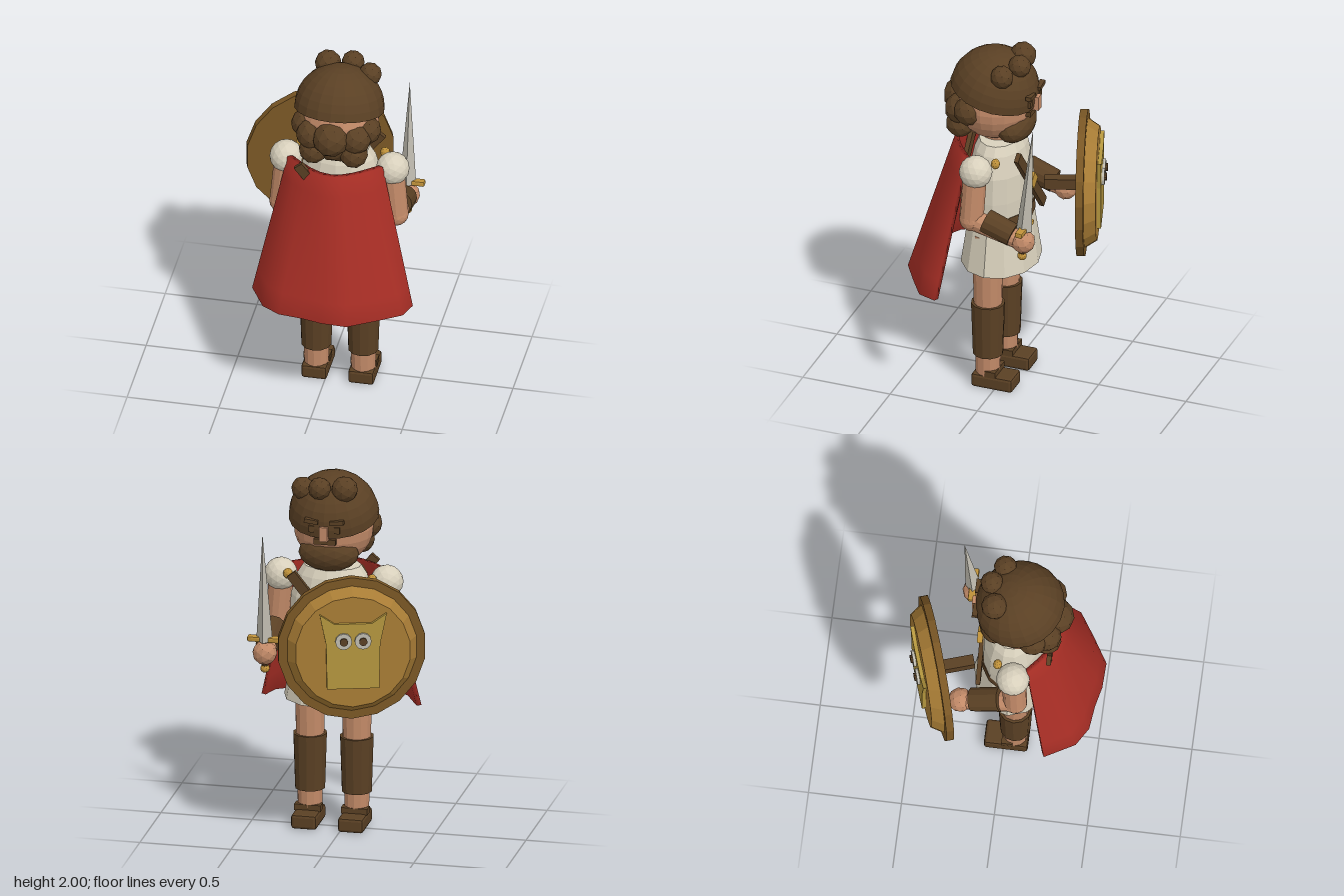
import * as THREE from 'three';
import { RoundedBoxGeometry } from 'three/addons/geometries/RoundedBoxGeometry.js';

const CX = 0.068; // body centre line

export function createModel() {
  const root = new THREE.Group();
  root.name = 'shieldBearer';

  const mat = (name, color, flat = true) => {
    const m = new THREE.MeshStandardMaterial({ color, flatShading: flat });
    m.name = name;
    return m;
  };
  const brown = mat('brownLeather', 0x5a4024);
  const skin = mat('skin', 0xc28a68);
  const cream = mat('creamCloth', 0xd8d0bc);
  const red = mat('redCloth', 0xa82e25, false);
  const bronze = mat('bronze', 0xa87c35);
  const darkBronze = mat('darkBronze', 0x7a5725);
  const gold = mat('gold', 0xc0923a);
  const owlGold = mat('emblemGold', 0xb4963e);
  const steel = mat('steel', 0xc0bcb0);

  const add = (name, geo, m, x = 0, y = 0, z = 0, parent = root) => {
    const mesh = new THREE.Mesh(geo, m);
    mesh.name = name;
    mesh.position.set(x, y, z);
    parent.add(mesh);
    return mesh;
  };
  const cyl = (rt, rb, h, n = 12) => new THREE.CylinderGeometry(rt, rb, h, n);
  const ball = (r, d = 1) => new THREE.IcosahedronGeometry(r, d);
  const box = (w, h, d) => new THREE.BoxGeometry(w, h, d);

  // Tapered limb from point a to point b
  const limb = (name, a, b, ra, rb, m, n = 12) => {
    const A = new THREE.Vector3(...a), B = new THREE.Vector3(...b);
    const dir = B.clone().sub(A);
    const mesh = add(name, cyl(rb, ra, dir.length(), n), m);
    mesh.position.copy(A).add(B).multiplyScalar(0.5);
    mesh.quaternion.setFromUnitVectors(new THREE.Vector3(0, 1, 0), dir.normalize());
    return mesh;
  };

  // Legs, greaves and sandals
  for (const s of [-1, 1]) {
    const x = CX + s * 0.128;
    add('leg', cyl(0.088, 0.066, 0.88), skin, x, 0.49, 0.057);
    add('greave', cyl(0.092, 0.082, 0.31), brown, x, 0.345, 0.057);
    add('sandal', new RoundedBoxGeometry(0.14, 0.08, 0.235, 1, 0.016), brown, x, 0.04, 0.013);
    add('sandalStrap', box(0.145, 0.035, 0.06), brown, x, 0.092, 0.02);
  }

  // Tunic
  const skirt = add('skirt', cyl(0.165, 0.21, 0.32), cream, CX, 0.88, 0.03);
  skirt.scale.x = 1.25;
  const profile = [[0, 1], [0.162, 1], [0.165, 1.15], [0.16, 1.3], [0.135, 1.42], [0.112, 1.47], [0, 1.475]];
  const torso = add('torso', new THREE.LatheGeometry(profile.map((p) => new THREE.Vector2(...p)), 14), cream, CX, 0, 0.03);
  torso.scale.x = 1.4;
  const belt = add('belt', cyl(0.17, 0.174, 0.06, 14), brown, CX, 1.03, 0.03);
  belt.scale.x = 1.32;

  // Crossed straps on the chest and back
  for (const [name, z] of [['chestStrap', -0.135], ['backStrap', 0.245]]) {
    const s = z < 0 ? 1 : -1;
    const strap = add(name, box(0.055, 0.6, 0.025), brown, CX, 1.22, z);
    strap.rotation.z = -s * 0.68;
  }
  add('strapBuckle', box(0.07, 0.07, 0.03), gold, CX, 1.22, -0.145).rotation.z = -0.68;

  // Arms
  for (const s of [-1, 1]) {
    const x = CX + s * 0.29, hx = CX + s * 0.313;
    add('sleeve', ball(0.09, 2), cream, x, 1.38, 0.065);
    limb('upperArm', [x, 1.36, 0.07], [hx, 1.1, 0.08], 0.065, 0.065, skin);
    add('elbow', ball(0.066, 2), skin, hx, 1.1, 0.08);
    limb('forearm', [hx, 1.1, 0.08], [hx, 1.03, -0.18], 0.058, 0.05, skin);
    limb('bracer', [hx, 1.105, 0.0], [hx, 1.05, -0.155], 0.068, 0.064, brown);
    add('hand', ball(0.067), skin, hx, 1.025, -0.215);
    const clasp = add('capeClasp', ball(0.03), gold, CX + s * 0.23, 1.415, -0.025);
    clasp.scale.set(0.9, 1, 0.8);
  }

  // Cape: rows of closed rings, outer face then inner face
  const hem = [[-0.37, 0.25], [-0.28, 0.41], [-0.18, 0.47], [-0.05, 0.485], [0.06, 0.51],
    [0.2, 0.515], [0.34, 0.43], [0.47, 0.345], [0.505, 0.245]];
  const N = hem.length, ROWS = 7, pos = [], idx = [];
  for (let r = 0; r <= ROWS; r++) {
    const t = r / ROWS;
    const outer = hem.map(([hx, hz], i) => {
      const u = i / (N - 1);
      const tx = -0.2 + 0.52 * u, tz = 0.14 + 0.15 * Math.sin(Math.PI * u);
      return [tx + (hx - tx) * t, tz + (hz - tz) * t];
    });
    const inner = outer.map(([x, z]) => {
      const dx = CX - x, dz = 0.02 - z, l = Math.hypot(dx, dz);
      return [x + dx / l * 0.028, z + dz / l * 0.028];
    }).reverse();
    for (const [x, z] of [...outer, ...inner]) pos.push(x, 1.43 - 0.8 * t, z);
  }
  const M = 2 * N;
  const quad = (a, b, c, d) => idx.push(a, b, c, a, c, d);
  for (let r = 0; r < ROWS; r++) {
    for (let i = 0; i < M; i++) {
      const j = (i + 1) % M;
      quad(r * M + i, (r + 1) * M + i, (r + 1) * M + j, r * M + j);
    }
  }
  for (let i = 0; i < N - 1; i++) {
    const b = ROWS * M;
    quad(i, i + 1, M - 2 - i, M - 1 - i);
    quad(b + M - 1 - i, b + M - 2 - i, b + i + 1, b + i);
  }
  const capeGeo = new THREE.BufferGeometry();
  capeGeo.setAttribute('position', new THREE.Float32BufferAttribute(pos, 3));
  capeGeo.setIndex(idx);
  capeGeo.computeVertexNormals();
  add('cape', capeGeo, red);

  // Head and face
  add('neck', cyl(0.08, 0.09, 0.14), skin, CX, 1.48, 0.05);
  add('head', new THREE.SphereGeometry(0.215, 20, 14), skin, CX, 1.68, 0.07);
  const hairMat = brown;
  const capHair = add('hairCap', new THREE.SphereGeometry(0.243, 20, 8, 0, Math.PI * 2, 0, Math.PI / 2), hairMat, CX, 1.735, 0.07);
  capHair.rotation.x = -0.25;
  const rim = add('hairCapUnderside', new THREE.CircleGeometry(0.242, 20), hairMat, CX, 1.735, 0.07);
  rim.rotation.x = Math.PI / 2 - 0.25;
  add('beard', ball(0.1, 2), hairMat, CX, 1.56, -0.055).scale.set(1.65, 1, 1);
  add('nose', box(0.045, 0.08, 0.06), skin, CX, 1.705, -0.16);
  add('moustache', box(0.12, 0.03, 0.04), hairMat, CX, 1.653, -0.14);
  for (const s of [-1, 1]) {
    add('eyebrow', box(0.075, 0.022, 0.03), hairMat, CX + s * 0.07, 1.77, -0.165).rotation.z = s * 0.12;
    add('eye', box(0.03, 0.035, 0.03), hairMat, CX + s * 0.07, 1.725, -0.155);
  }

  // Curls on top and behind the head
  const curls = [[-0.02, 1.925, -0.06, 0.072], [0.11, 1.93, -0.09, 0.062], [0.215, 1.905, -0.03, 0.063],
    [0.062, 1.66, 0.26, 0.1]];
  for (const s of [-1, 1]) {
    curls.push([CX + s * 0.165, 1.67, 0.155, 0.08], [CX + s * 0.11, 1.555, 0.225, 0.078],
      [CX + s * 0.12, 1.65, 0.22, 0.085]);
  }
  for (const [x, y, z, r] of curls) add('hairCurl', ball(r), hairMat, x, y, z);
  add('napeHair', ball(0.13), hairMat, CX, 1.6, 0.16);

  // Sword
  const sword = new THREE.Group();
  sword.name = 'sword';
  sword.position.set(CX + 0.313, 1.03, -0.217);
  sword.rotation.x = -0.08;
  root.add(sword);
  add('blade', new THREE.ConeGeometry(0.045, 0.62, 4), steel, 0, 0.375, 0, sword);
  add('guard', new RoundedBoxGeometry(0.185, 0.03, 0.042, 1, 0.008), gold, 0, 0.075, 0, sword);
  add('grip', cyl(0.018, 0.018, 0.17, 8), brown, 0, -0.01, 0, sword);
  add('pommel', ball(0.026), gold, 0, -0.095, 0, sword);

  // Shield, built facing local +z
  const shield = new THREE.Group();
  shield.name = 'shield';
  shield.position.set(-0.127, 1.145, -0.36);
  shield.rotation.y = Math.PI + 0.318;
  root.add(shield);
  const disc = (name, rt, rb, h, z, m, n = 18, x = 0, y = 0) => {
    add(name, cyl(rt, rb, h, n), m, x, y, z, shield).rotation.x = Math.PI / 2;
  };
  disc('shieldRim', 0.398, 0.398, 0.042, 0, darkBronze);
  disc('shieldFace', 0.31, 0.352, 0.064, 0.052, bronze);
  const owl = new THREE.Shape([[-0.14, -0.2], [0.14, -0.2], [0.145, 0.05], [0.18, 0.22], [0.1, 0.165],
    [-0.1, 0.165], [-0.18, 0.22], [-0.145, 0.05]].map((p) => new THREE.Vector2(...p)));
  add('owlEmblem', new THREE.ExtrudeGeometry(owl, { depth: 0.022, bevelEnabled: false }), owlGold, 0, 0, 0.083, shield);
  for (const s of [-1, 1]) {
    disc('owlEye', 0.045, 0.045, 0.016, 0.112, steel, 12, s * 0.052, 0.07);
    disc('owlPupil', 0.022, 0.022, 0.012, 0.125, brown, 10, s * 0.052, 0.07);
  }
  add('shieldHandle', box(0.06, 0.06, 0.19), brown, 0, 0, -0.11, shield);

  return root;
}
